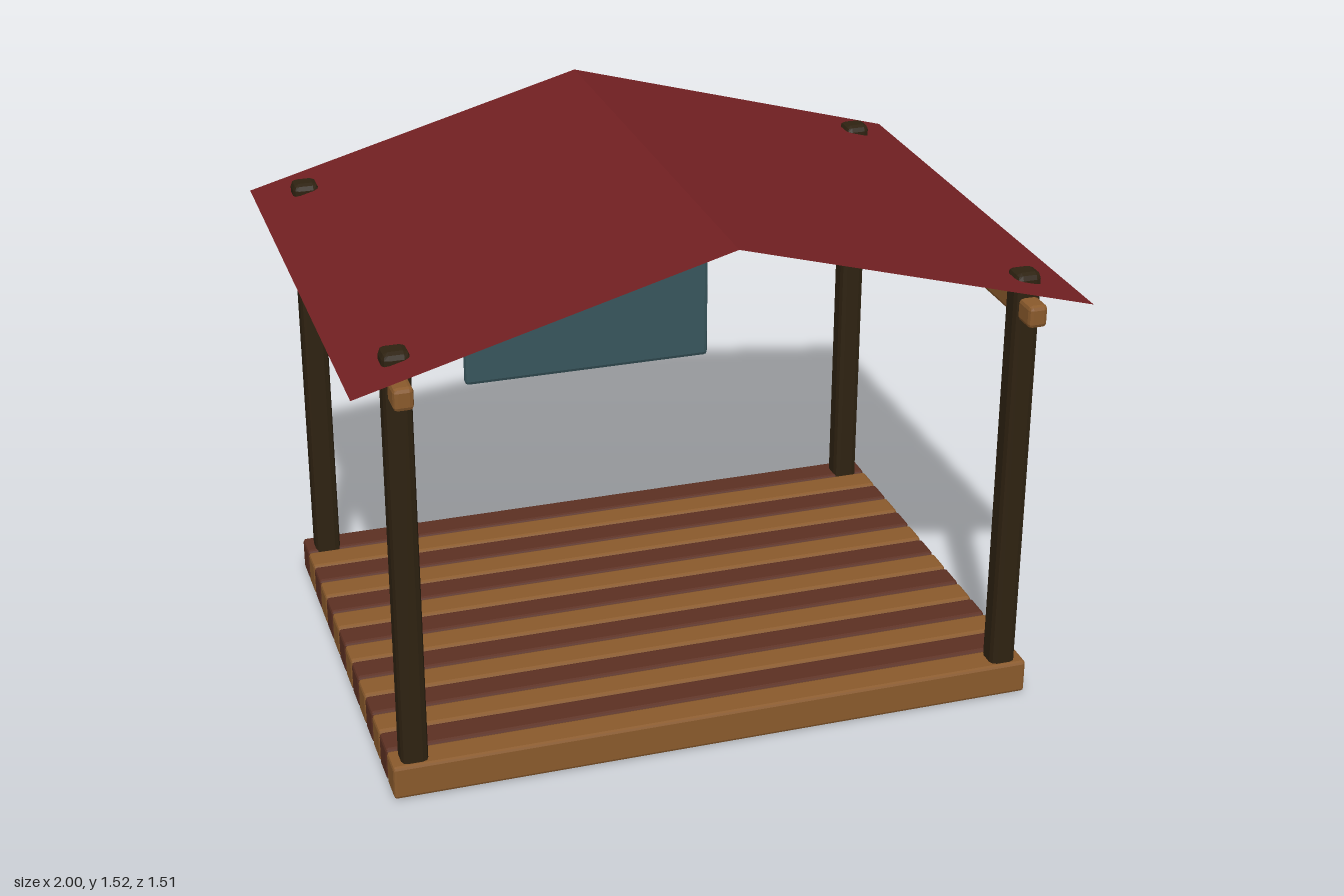
import * as THREE from 'three';
import { RoundedBoxGeometry } from 'three/addons/geometries/RoundedBoxGeometry.js';

const paint = (name, color) => {
  const m = new THREE.MeshStandardMaterial({ color });
  m.name = name;
  return m;
};

// Box with a flat chamfer along every edge
function beam(name, size, pos, bevel, material) {
  const geo = new RoundedBoxGeometry(...size, 1, bevel);
  geo.computeVertexNormals();
  const mesh = new THREE.Mesh(geo, material);
  mesh.name = name;
  mesh.position.set(...pos);
  return mesh;
}

export function createModel() {
  const lightWood = paint('light wood', 0x8a5a2c);
  const darkWood = paint('dark wood', 0x5c3022);
  const postWood = paint('post wood', 0x2e2211);
  const roofRed = paint('roof red', 0x722022);
  roofRed.side = THREE.DoubleSide; // open sheet
  const signTeal = paint('sign teal', 0x38555c);

  const model = new THREE.Group();
  model.name = 'pavilion';

  // Deck: planks in alternating colours, from front to back
  const deck = new THREE.Group();
  deck.name = 'deck';
  const count = 14, pitch = 0.0967;
  for (let i = 0; i < count; i++) {
    const z = 0.624 - i * pitch;
    deck.add(beam('plank', [1.85, 0.1, 0.091], [0, 0.052, z], 0.009, i % 2 ? darkWood : lightWood));
  }
  model.add(deck);

  // Corner posts and the side beams they carry
  for (const x of [-0.86, 0.86]) {
    for (const z of [-0.62, 0.62]) {
      model.add(beam('post', [0.075, 1.307, 0.075], [x, 0.6535, z], 0.018, postWood));
    }
    model.add(beam('sideBeam', [0.054, 0.064, 1.445], [x, 1.208, 0], 0.012, lightWood));
  }

  // Gabled roof: two thin sloping sheets meeting at the ridge
  const eaveY = 1.243, ridgeY = 1.52, rise = ridgeY - eaveY;
  for (const side of [-1, 1]) {
    const sheet = new THREE.PlaneGeometry(Math.hypot(1, rise), 1.515);
    sheet.rotateX(-Math.PI / 2);
    const slope = new THREE.Mesh(sheet, roofRed);
    slope.name = side < 0 ? 'roofRight' : 'roofLeft';
    slope.rotation.z = -side * Math.atan(rise);
    slope.position.set(side * 0.5, (eaveY + ridgeY) / 2, 0);
    model.add(slope);
  }

  // Sign board between the back posts
  model.add(beam('signBoard', [0.79, 0.475, 0.032], [-0.003, 0.813, -0.644], 0.013, signTeal));

  return model;
}
